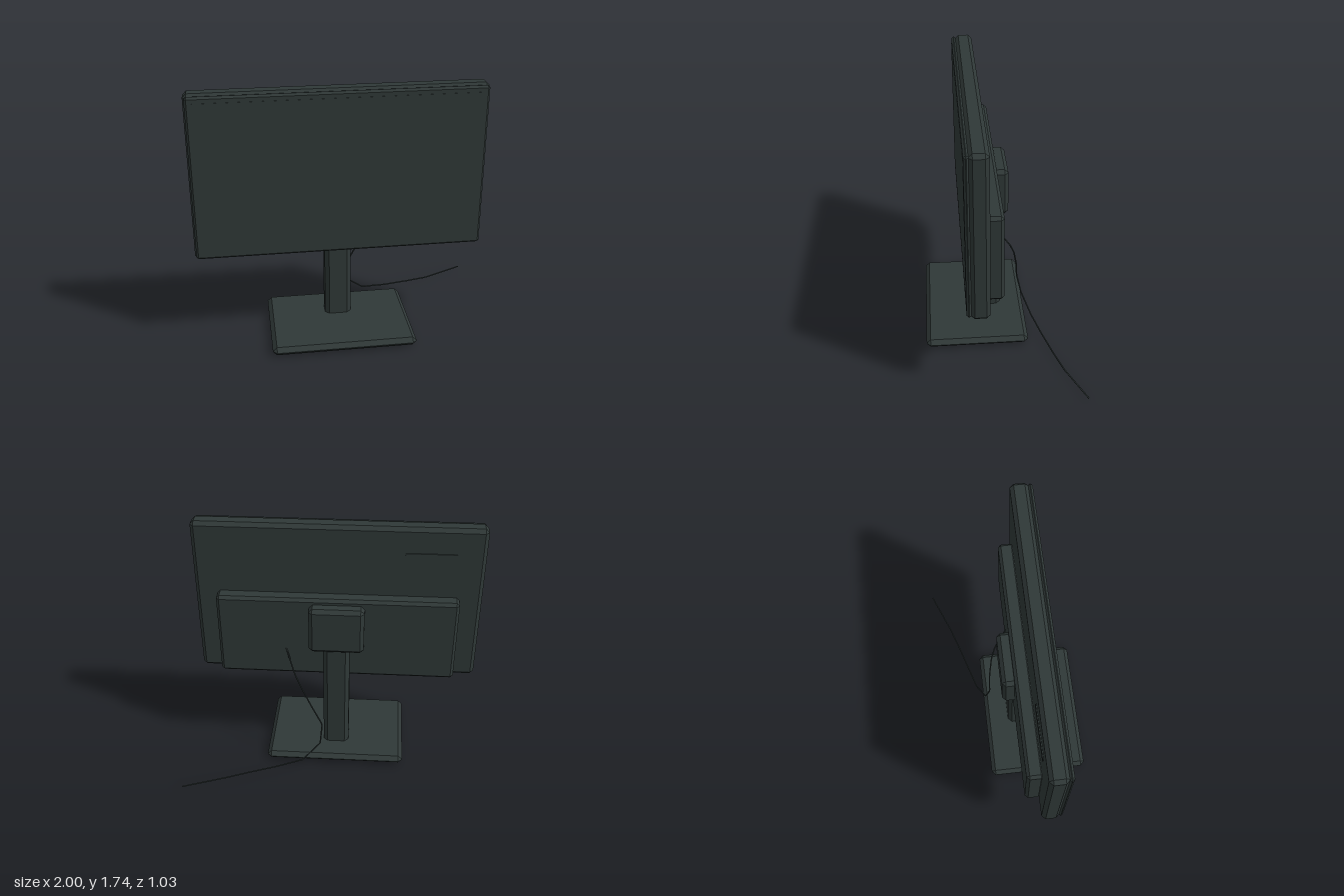
import * as THREE from 'three';
import { ConvexGeometry } from 'three/addons/geometries/ConvexGeometry.js';

const charcoal = new THREE.MeshStandardMaterial({ color: 0x2f3837 });
charcoal.name = 'charcoal plastic';

// Box given by its limits, with every edge cut by a flat chamfer c
function chamferBox(name, [x0, x1], [y0, y1], [z0, z1], c) {
  const half = [(x1 - x0) / 2, (y1 - y0) / 2, (z1 - z0) / 2];
  const points = [];
  for (const sx of [-1, 1]) for (const sy of [-1, 1]) for (const sz of [-1, 1]) {
    for (let full = 0; full < 3; full++) {
      const p = half.map((h, i) => (i === full ? h : h - c));
      points.push(new THREE.Vector3(p[0] * sx, p[1] * sy, p[2] * sz));
    }
  }
  const mesh = new THREE.Mesh(new ConvexGeometry(points), charcoal);
  mesh.name = name;
  mesh.position.set((x0 + x1) / 2, (y0 + y1) / 2, (z0 + z1) / 2);
  return mesh;
}

function plate(name, w, h, d, x, y, z) {
  const mesh = new THREE.Mesh(new THREE.BoxGeometry(w, h, d), charcoal);
  mesh.name = name;
  mesh.position.set(x, y, z);
  return mesh;
}

export function createModel() {
  const model = new THREE.Group();
  model.name = 'monitor';

  // Display: shell, front bezel, glass and rear housing
  const display = new THREE.Group();
  display.name = 'display';
  display.add(
    chamferBox('shell', [-1, 0.91], [0.62, 1.74], [0.105, 0.225], 0.025),
    chamferBox('bezel', [-0.99, 0.9], [0.635, 1.73], [0.218, 0.25], 0.014),
    plate('screen', 1.8, 0.98, 0.008, -0.045, 1.2, 0.248),
    chamferBox('rearHousing', [-0.85, 0.76], [0.65, 1.25], [0.01, 0.12], 0.02),
    plate('rearLabel', 0.33, 0.055, 0.008, -0.645, 1.538, 0.102)
  );

  // Stand: mount block, column and foot
  const stand = new THREE.Group();
  stand.name = 'stand';
  stand.add(
    chamferBox('mountBlock', [-0.23, 0.14], [0.88, 1.213], [-0.07, 0.035], 0.025),
    chamferBox('column', [-0.135, 0.045], [0.04, 1.0], [-0.02, 0.115], 0.028),
    chamferBox('foot', [-0.53, 0.44], [0.01, 0.07], [-0.187, 0.512], 0.028)
  );

  // Cable of straight segments from the rear housing to the ground
  const cablePoints = [
    [0.3, 0.86, 0.012], [0.235, 0.7, -0.075], [0.19, 0.61, -0.105], [0.115, 0.46, -0.13],
    [0.045, 0.32, -0.14], [0.058, 0.175, -0.172], [0.18, 0.063, -0.232], [0.36, 0.036, -0.285],
    [0.56, 0.02, -0.345], [0.71, 0.009, -0.395], [0.997, 0.018, -0.512]
  ].map((p) => new THREE.Vector3(...p));
  const path = new THREE.CurvePath();
  for (let i = 1; i < cablePoints.length; i++) {
    path.add(new THREE.LineCurve3(cablePoints[i - 1], cablePoints[i]));
  }
  const cable = new THREE.Mesh(new THREE.TubeGeometry(path, 80, 0.005, 8), charcoal);
  cable.name = 'cable';

  model.add(display, stand, cable);
  return model;
}
